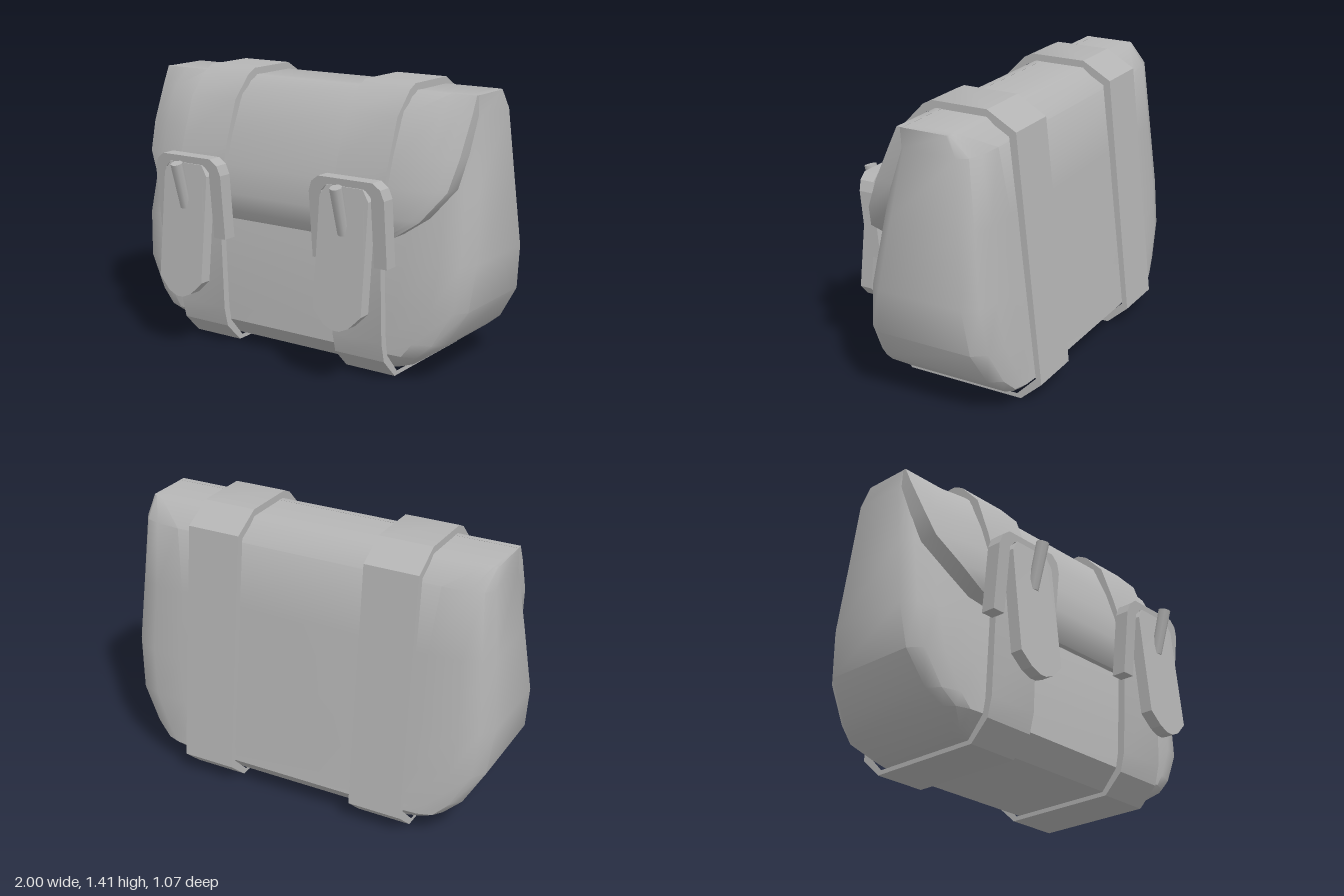
import * as THREE from 'three';
import { toCreasedNormals } from 'three/addons/utils/BufferGeometryUtils.js';

// Skin through horizontal rings, listed bottom to top; each ring runs left to
// right along the front, then right to left along the back.
function loft(rings, crease) {
  const n = rings[0].length, pos = [], idx = [];
  rings.forEach(r => r.forEach(p => pos.push(...p)));
  const quad = (a, b, c, d) => idx.push(a, b, c, a, c, d);
  for (let i = 0; i < rings.length - 1; i++)
    for (let j = 0; j < n; j++) {
      const k = (j + 1) % n;
      quad(i * n + j, i * n + k, (i + 1) * n + k, (i + 1) * n + j);
    }
  const top = (rings.length - 1) * n;
  for (let j = 0; j < n / 2 - 1; j++) {
    quad(j, n - 1 - j, n - 2 - j, j + 1);
    quad(top + j, top + j + 1, top + n - 2 - j, top + n - 1 - j);
  }
  const g = new THREE.BufferGeometry();
  g.setAttribute('position', new THREE.Float32BufferAttribute(pos, 3));
  g.setIndex(idx);
  return toCreasedNormals(g, crease);
}

const toShape = pts => new THREE.Shape(pts.map(p => new THREE.Vector2(...p)));

// Front-facing plate whose back follows z = rule(y)
function plate(pts, depth, rule) {
  const g = new THREE.ExtrudeGeometry(toShape(pts), { depth, bevelEnabled: false });
  const p = g.attributes.position;
  for (let i = 0; i < p.count; i++) p.setZ(i, p.getZ(i) + rule(p.getY(i)));
  g.computeVertexNormals();
  return g;
}

// Body: y, half width, front z, back z, corner rounding
function bodyGeometry() {
  const rows = [
    [0.03, 0.62, 0.17, -0.40, 0.4], [0.06, 0.69, 0.20, -0.43, 0.5],
    [0.13, 0.79, 0.27, -0.50, 0.7], [0.20, 0.875, 0.265, -0.49, 0.9],
    [0.37, 0.975, 0.25, -0.47, 1], [0.60, 1.00, 0.22, -0.44, 1],
    [0.95, 0.97, 0.15, -0.40, 0.9], [1.28, 0.94, 0.07, -0.355, 0.7],
    [1.375, 0.93, 0.03, -0.24, 0.15],
  ];
  const corner = [[0, 0.11], [0.05, 0.045], [0.15, 0.012], [0.33, 0]];
  return loft(rows.map(([y, w, zf, zb, k]) => {
    const half = corner.map(([dx, dz]) => [w - dx * k, dz * k]);
    const cols = [...half.map(([x, d]) => [-x, d]), ...half.slice().reverse()];
    return [
      ...cols.map(([x, d]) => [x, y, zf - d]),
      ...cols.slice().reverse().map(([x, d]) => [x, y, zb + d]),
    ];
  }), 0.75);
}

// Flap: y, half width, front z, thickness
function flapGeometry() {
  const rows = [
    [0.67, 0.42, 0.265, 0.03], [0.72, 0.66, 0.30, 0.09], [0.81, 0.79, 0.315, 0.10],
    [0.95, 0.895, 0.29, 0.10], [1.10, 0.92, 0.24, 0.09], [1.29, 0.93, 0.155, 0.08],
    [1.376, 0.93, 0.03, 0.03],
  ];
  const cols = [-1, -0.95, -0.86, -0.7, 0.7, 0.86, 0.95, 1];
  return loft(rows.map(([y, w, z, t]) => {
    const k = y > 1.3 ? 0 : 1;
    const pts = cols.map(u => {
      const x = u * w, e = Math.max(0, Math.abs(x) - 0.62) / 0.31;
      return [x, y, z - k * 0.085 * e * e];
    });
    return [...pts, ...pts.slice().reverse().map(([x, yy, zz]) => [x, yy, zz - t])];
  }), 0.7);
}

// Strap loop around the whole body, drawn as [z, y]
function strapGeometry() {
  const outer = [[0.2, 0], [0.3, 0.1], [0.325, 0.2], [0.342, 0.6], [0.35, 0.84], [0.285, 1.06],
    [0.21, 1.27], [0.1, 1.385], [0.05, 1.41], [-0.24, 1.41], [-0.39, 1.325], [-0.53, 0.1], [-0.42, 0]];
  const inner = [[0.18, 0.022], [0.27, 0.125], [0.285, 0.2], [0.305, 0.6], [0.31, 0.82], [0.25, 1.05],
    [0.17, 1.26], [0.08, 1.35], [0.03, 1.37], [-0.23, 1.37], [-0.355, 1.3], [-0.5, 0.125], [-0.4, 0.022]];
  const flip = pts => pts.map(([z, y]) => [-z, y]);
  const s = toShape(flip(outer));
  s.holes.push(toShape(flip(inner)));
  const g = new THREE.ExtrudeGeometry(s, { depth: 0.28, bevelEnabled: false });
  g.translate(0, 0, -0.14).rotateY(Math.PI / 2);
  return toCreasedNormals(g, 0.5);
}

const mirrorX = half => [...half, ...half.slice().reverse().map(([x, y]) => [-x, y])];

export function createModel() {
  const group = new THREE.Group();
  const grey = new THREE.MeshStandardMaterial({ color: 0xb4b4b4 });
  grey.name = 'plain grey';
  const add = (parent, name, geometry) => {
    const m = new THREE.Mesh(geometry, grey);
    m.name = name;
    parent.add(m);
    return m;
  };

  add(group, 'body', bodyGeometry());
  add(group, 'flap', flapGeometry());

  const strap = strapGeometry();
  // Buckle: inverted U, leaning slightly forward at the top
  const frame = plate(mirrorX([
    [0.208, 0.59], [0.208, 0.92], [0.19, 0.97], [0.15, 1.0],
  ]).concat([[-0.138, 0.59], [-0.138, 0.93], [-0.11, 0.96], [0.11, 0.96], [0.138, 0.93], [0.138, 0.59]]),
  0.075, y => 0.32 + (y - 0.59) * 0.1);
  // Loose strap end hanging out over the buckle
  const tailZ = y => (y > 0.72 ? 0.4 - (y - 0.72) * 0.1 : 0.4 + (0.72 - y) * 0.105);
  const tail = plate(mirrorX([
    [0.02, 0.288], [0.07, 0.31], [0.135, 0.375], [0.135, 0.55], [0.135, 0.72], [0.135, 0.91], [0.1, 0.965],
  ]), 0.064, tailZ);
  const pin = new THREE.CylinderGeometry(0.031, 0.027, 0.24, 8);

  for (const side of [-1, 1]) {
    const set = new THREE.Group();
    set.name = side > 0 ? 'leftStrapSet' : 'rightStrapSet';
    set.position.x = side * 0.475;
    add(set, 'strap', strap);
    add(set, 'buckleFrame', frame);
    add(set, 'strapEnd', tail);
    const p = add(set, 'bucklePin', pin);
    p.position.set(0, 0.86, 0.478);
    p.rotation.x = 0.27;
    group.add(set);
  }
  return group;
}
